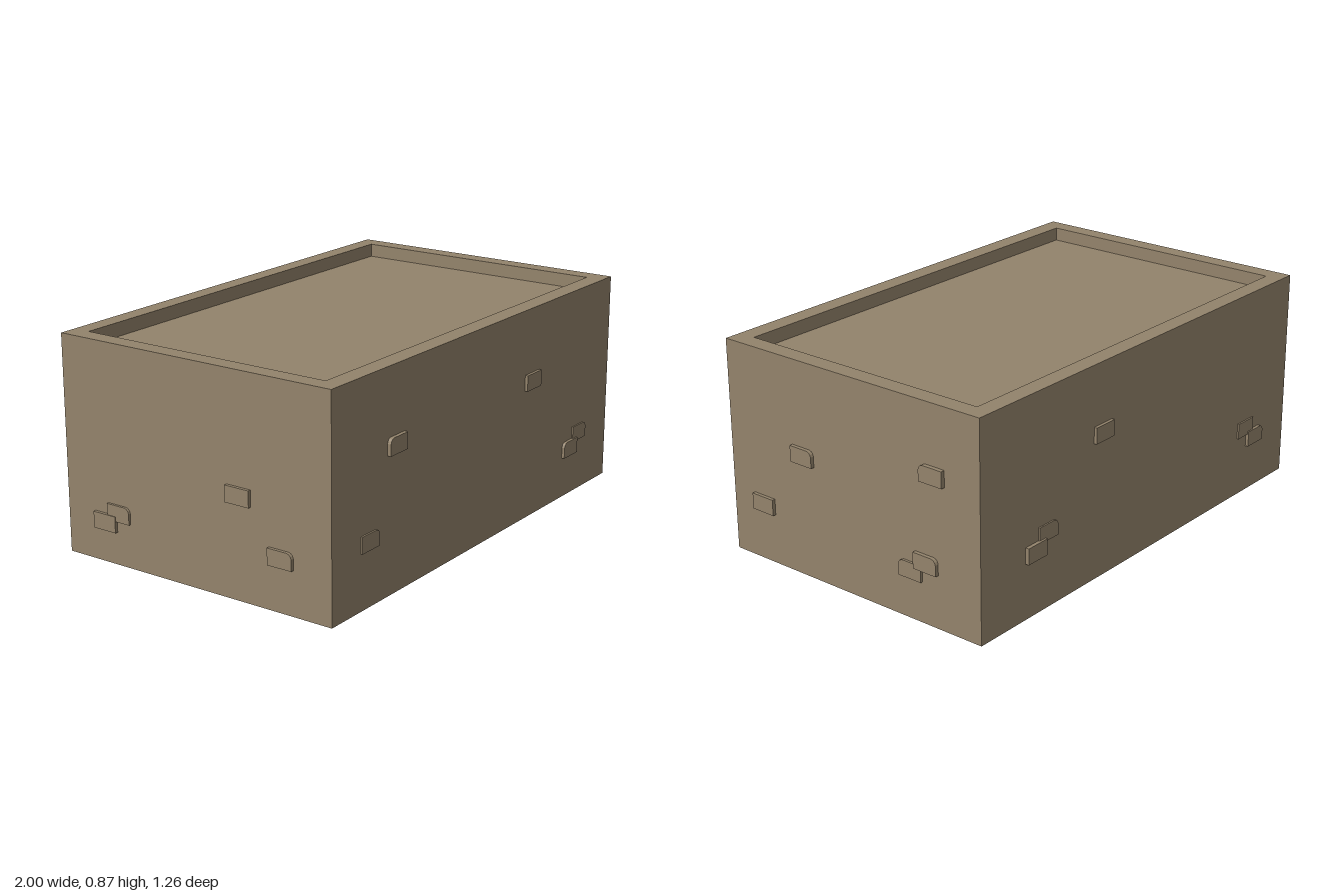
import * as THREE from 'three';

const stone = new THREE.MeshStandardMaterial({ color: 0x94846c });
stone.name = 'sandstone';

// Body limits
const X0 = -0.987, X1 = 0.982, Z = 0.617, H = 0.865, FLOOR = 0.81, RIM = 0.072;

function rectangle(target, x0, y0, x1, y1) {
  target.moveTo(x0, y0);
  target.lineTo(x1, y0);
  target.lineTo(x1, y1);
  target.lineTo(x0, y1);
  target.closePath();
  return target;
}

// Brick outline with one worn upper corner: 'L', 'R' or none
function brickGeometry(worn, depth) {
  const w = 0.0535, h = 0.0325, r = 0.02;
  const s = new THREE.Shape();
  s.moveTo(-w, -h);
  s.lineTo(w, -h);
  if (worn === 'R') {
    s.lineTo(w, h - r);
    s.quadraticCurveTo(w - 0.003, h - 0.003, w - r, h);
  } else s.lineTo(w, h);
  if (worn === 'L') {
    s.lineTo(-w + r, h);
    s.quadraticCurveTo(-w + 0.003, h - 0.003, -w, h - r);
  } else s.lineTo(-w, h);
  s.closePath();
  const sunk = 0.01;
  const g = new THREE.ExtrudeGeometry(s, { depth: depth + sunk, bevelEnabled: false, curveSegments: 3 });
  return g.translate(0, 0, -sunk);
}

// Each brick: position along the wall (x or z), height, protrusion, worn corner
const walls = {
  front: [
    [-0.6, 0.57, 0.015, 'L'], [0.35, 0.57, 0.012, ''], [-0.76, 0.252, 0.007, 'R'],
    [0.668, 0.203, 0.012, 'L'], [0.745, 0.252, 0.006, 'R'],
  ],
  back: [
    [0.287, 0.59, 0.012, ''], [0.683, 0.257, 0.015, ''], [0.61, 0.308, 0.006, 'R'],
    [-0.69, 0.285, 0.007, ''], [-0.757, 0.232, 0.013, 'R'],
  ],
  left: [
    [0.234, 0.493, 0.015, 'R'], [0.452, 0.237, 0.014, ''], [-0.403, 0.597, 0.017, 'L'],
    [-0.367, 0.246, 0.015, 'R'], [-0.291, 0.196, 0.01, 'L'],
  ],
  right: [
    [-0.427, 0.163, 0.013, ''], [-0.36, 0.208, 0.01, 'R'],
    [0.212, 0.403, 0.013, ''], [0.398, 0.208, 0.013, 'R'],
  ],
};

// Places a brick on its wall, facing outward
const place = {
  front: (m, a, y) => m.position.set(a, y, Z),
  back: (m, a, y) => { m.position.set(a, y, -Z); m.rotation.y = Math.PI; },
  left: (m, a, y) => { m.position.set(X1, y, a); m.rotation.y = Math.PI / 2; },
  right: (m, a, y) => { m.position.set(X0, y, a); m.rotation.y = -Math.PI / 2; },
};

export function createModel() {
  const model = new THREE.Group();
  model.name = 'stoneBlock';

  // Outer walls, rising above the roof as a parapet
  const outline = rectangle(new THREE.Shape(), X0, -Z, X1, Z);
  const hx0 = X0 + RIM, hx1 = X1 - RIM, hz0 = -0.546, hz1 = 0.542;
  outline.holes.push(rectangle(new THREE.Path(), hx0, -hz1, hx1, -hz0));
  const wallGeometry = new THREE.ExtrudeGeometry(outline, { depth: H, bevelEnabled: false });
  wallGeometry.rotateX(-Math.PI / 2);
  const parapet = new THREE.Mesh(wallGeometry, stone);
  parapet.name = 'wallsAndParapet';
  model.add(parapet);

  // Solid core whose top is the sunken roof
  const roof = new THREE.Mesh(new THREE.BoxGeometry(hx1 - hx0, FLOOR, hz1 - hz0), stone);
  roof.position.set((hx0 + hx1) / 2, FLOOR / 2, (hz0 + hz1) / 2);
  roof.name = 'sunkenRoof';
  model.add(roof);

  // Scattered raised bricks
  for (const [side, bricks] of Object.entries(walls)) {
    const group = new THREE.Group();
    group.name = side + 'Bricks';
    for (const [along, y, depth, worn] of bricks) {
      const brick = new THREE.Mesh(brickGeometry(worn, depth), stone);
      brick.name = 'brick';
      place[side](brick, along, y);
      group.add(brick);
    }
    model.add(group);
  }
  return model;
}
